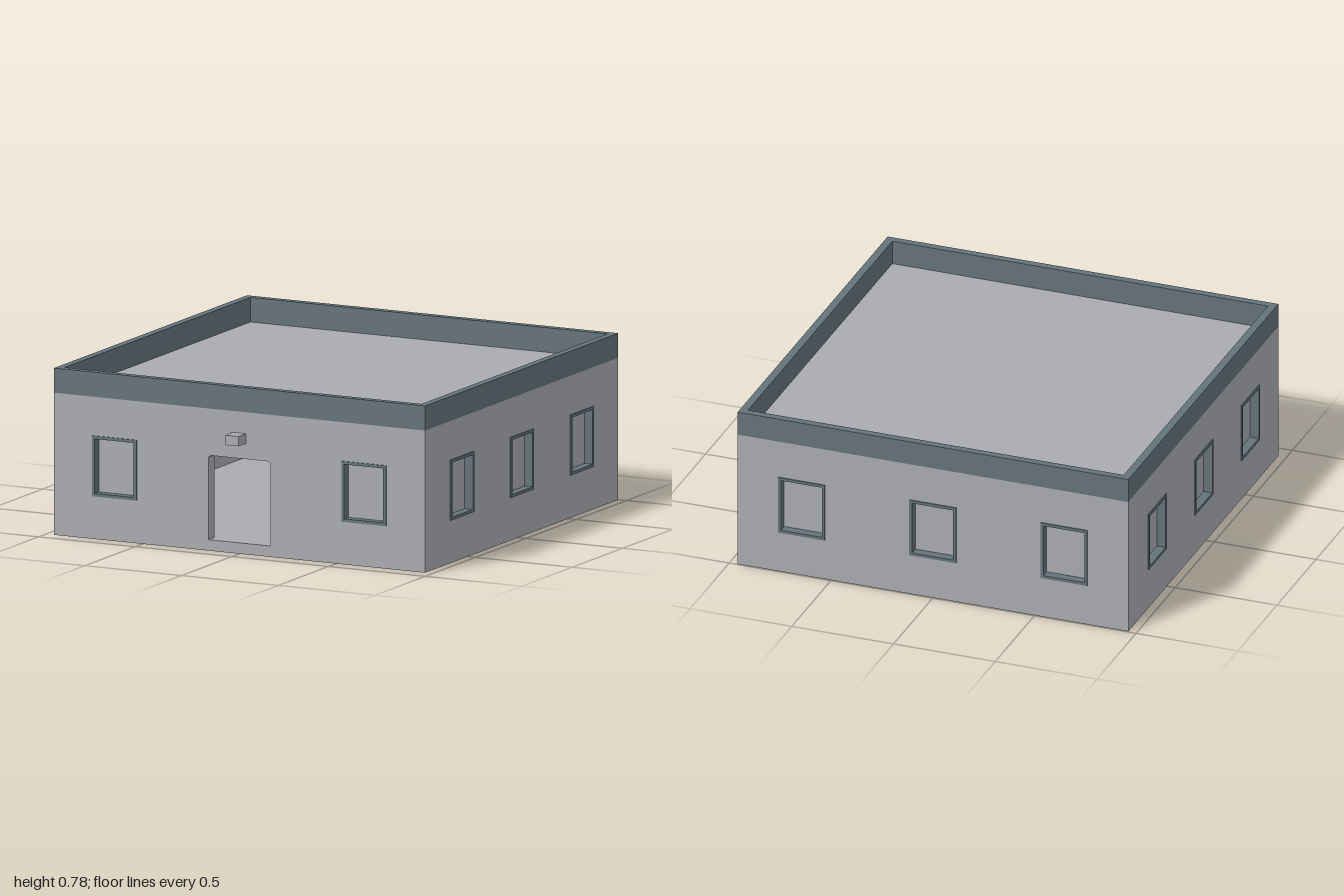
import * as THREE from 'three';

const HALF = 0.96;      // half the square footprint
const WALL = 0.06;      // wall thickness
const FLOOR = 0.05;     // floor slab height
const CEILING = 0.615;  // underside of the roof slab
const DECK = 0.665;     // roof deck, where the parapet starts
const TOP = 0.78;
const WIN = { w: 0.23, y0: 0.2, y1: 0.483, rim: 0.014, proud: 0.005 };

const wallMat = new THREE.MeshStandardMaterial({ color: 0xa9abb0 });
wallMat.name = 'concrete grey';
const trimMat = new THREE.MeshStandardMaterial({ color: 0x64737a });
trimMat.name = 'slate trim';

function add(parent, name, geometry, material, x = 0, y = 0, z = 0) {
  const mesh = new THREE.Mesh(geometry, material);
  mesh.name = name;
  mesh.position.set(x, y, z);
  parent.add(mesh);
  return mesh;
}

const polygon = (points, Type = THREE.Shape) =>
  new Type(points.map(([x, y]) => new THREE.Vector2(x, y)));

const rect = (x0, y0, x1, y1, Type) =>
  polygon([[x0, y0], [x1, y0], [x1, y1], [x0, y1]], Type);

const extrude = (shape, depth) =>
  new THREE.ExtrudeGeometry(shape, { depth, bevelEnabled: false });

// Frame tube through the wall with a recessed pane; local z = 0 is the outer face
function addWindow(parent, x) {
  const g = new THREE.Group();
  g.name = 'window';
  const { w, y0, y1, rim, proud } = WIN;
  const shape = rect(-w / 2, y0, w / 2, y1);
  shape.holes.push(rect(-w / 2 + rim, y0 + rim, w / 2 - rim, y1 - rim, THREE.Path));
  add(g, 'windowFrame', extrude(shape, WALL + 2 * proud), trimMat, 0, 0, -WALL - proud);
  add(g, 'windowPane', new THREE.BoxGeometry(w - 2 * rim, y1 - y0 - 2 * rim, 0.008),
    wallMat, 0, (y0 + y1) / 2, -0.042);
  g.position.x = x;
  parent.add(g);
}

// One wall with its openings, turned to face outward
function addWall(parent, name, angle, halfWidth, windows, hasDoor) {
  const g = new THREE.Group();
  g.name = name;
  const shape = rect(-halfWidth, FLOOR, halfWidth, CEILING);
  for (const x of windows) {
    shape.holes.push(rect(x - WIN.w / 2, WIN.y0, x + WIN.w / 2, WIN.y1, THREE.Path));
  }
  if (hasDoor) {
    // doorway with slightly clipped upper corners
    shape.holes.push(polygon([[-0.16, FLOOR + 0.001], [0.16, FLOOR + 0.001], [0.16, 0.437],
      [0.147, 0.446], [-0.147, 0.446], [-0.16, 0.437]], THREE.Path));
  }
  add(g, 'wallPanel', extrude(shape, WALL), wallMat, 0, 0, -WALL);
  for (const x of windows) addWindow(g, x);
  g.rotation.y = angle;
  g.position.set(Math.sin(angle) * HALF, 0, Math.cos(angle) * HALF);
  parent.add(g);
}

export function createModel() {
  const model = new THREE.Group();
  model.name = 'flatRoofBuilding';
  const house = new THREE.Group();
  house.name = 'building';
  house.position.z = -0.035;
  model.add(house);

  // Floor and roof slabs
  const size = 2 * HALF;
  add(house, 'floorSlab', new THREE.BoxGeometry(size, FLOOR, size), wallMat, 0, FLOOR / 2, 0);
  add(house, 'roofSlab', new THREE.BoxGeometry(size, DECK - CEILING, size), wallMat,
    0, (DECK + CEILING) / 2, 0);

  // Four walls
  const sideWindows = [-0.595, 0, 0.595];
  addWall(house, 'frontWall', 0, HALF, [-0.645, 0.645], true);
  addWall(house, 'backWall', Math.PI, HALF, [-0.645, 0, 0.645], false);
  addWall(house, 'leftWall', Math.PI / 2, HALF - WALL, sideWindows, false);
  addWall(house, 'rightWall', -Math.PI / 2, HALF - WALL, sideWindows, false);

  // Parapet ring around the roof
  const inner = HALF - 0.037;
  const ring = rect(-HALF, -HALF, HALF, HALF);
  ring.holes.push(rect(-inner, -inner, inner, inner, THREE.Path));
  add(house, 'parapet', extrude(ring, TOP - DECK), trimMat, 0, DECK, 0).rotation.x = -Math.PI / 2;

  // Lamp box above the door
  add(house, 'doorLamp', new THREE.BoxGeometry(0.068, 0.046, 0.075), wallMat, 0, 0.542, HALF + 0.0375);

  return model;
}
